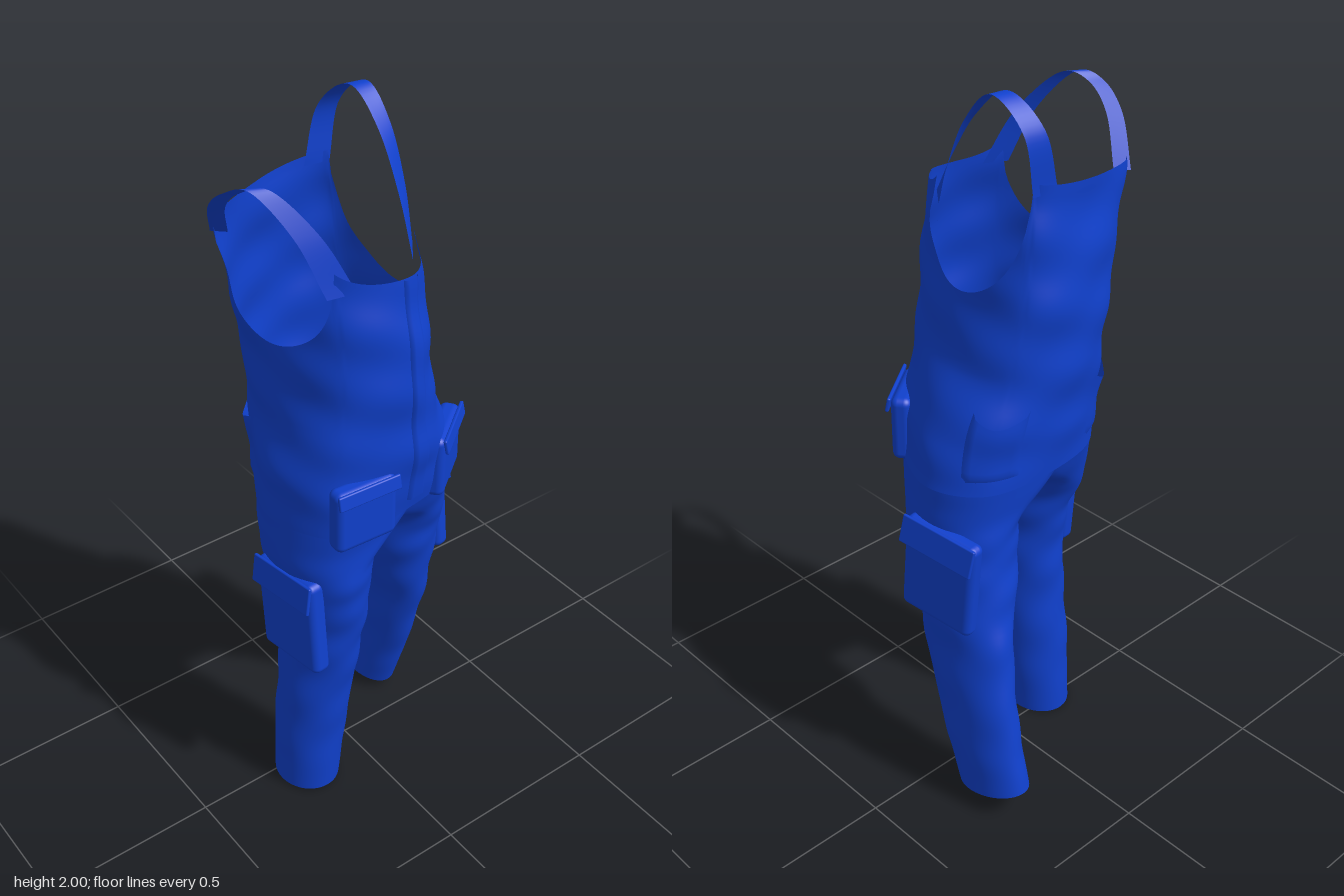
import * as THREE from 'three';
import { mergeVertices } from 'three/addons/utils/BufferGeometryUtils.js';
import { RoundedBoxGeometry } from 'three/addons/geometries/RoundedBoxGeometry.js';

const cloth = new THREE.MeshStandardMaterial({ color: 0x1040cc, side: THREE.DoubleSide });
const V = (x, y, z) => new THREE.Vector3(x, y, z);
const spline = (pts, closed = false) => new THREE.CatmullRomCurve3(pts, closed, 'catmullrom');

// Smooth sheet from a rule f(a, b), a and b running 0..1
function sheet(nu, nv, f) {
  const pos = [], idx = [];
  for (let j = 0; j <= nv; j++)
    for (let i = 0; i <= nu; i++) pos.push(...f(i / nu, j / nv).toArray());
  for (let j = 0; j < nv; j++)
    for (let i = 0; i < nu; i++) {
      const a = j * (nu + 1) + i, b = a + nu + 1;
      idx.push(a, a + 1, b, a + 1, b + 1, b);
    }
  let g = new THREE.BufferGeometry();
  g.setAttribute('position', new THREE.Float32BufferAttribute(pos, 3));
  g.setIndex(idx);
  g = mergeVertices(g, 1e-5);
  g.computeVertexNormals();
  return g;
}

// Torso sections: x, z of front, front left, left, back left, back, back right, right, front right
const heights = [1.0, 1.15, 1.3, 1.5, 1.74];
const sections = [
  [0.02, 0.24, 0.2, 0.18, 0.302, -0.02, 0.22, -0.17, 0.01, -0.195, -0.18, -0.14, -0.28, 0.05, -0.19, 0.24],
  [0.02, 0.27, 0.18, 0.19, 0.272, -0.01, 0.2, -0.17, 0, -0.215, -0.19, -0.14, -0.277, 0.05, -0.2, 0.235],
  [0.01, 0.28, 0.14, 0.18, 0.205, -0.02, 0.15, -0.18, -0.03, -0.23, -0.2, -0.15, -0.252, 0.05, -0.18, 0.23],
  [0, 0.28, 0.12, 0.17, 0.172, -0.02, 0.12, -0.2, -0.05, -0.235, -0.225, -0.15, -0.252, 0.04, -0.17, 0.225],
  [0, 0.24, 0.1, 0.14, 0.15, -0.03, 0.1, -0.2, -0.09, -0.21, -0.28, -0.13, -0.285, 0.05, -0.18, 0.2],
].map((s, k) => spline(Array.from({ length: 8 }, (_, i) => V(s[2 * i], heights[k], s[2 * i + 1])), true));

// Point on the torso: u runs 0..8 around from the front, y is the height
function torsoPoint(u, y, grow = 0) {
  const w = (((u % 8) + 8) % 8) / 8;
  let k = 0;
  while (k < 3 && y > heights[k + 1]) k++;
  const s = (k + (y - heights[k]) / (heights[k + 1] - heights[k])) / 4;
  const p = spline(sections.map(c => c.getPoint(w))).getPoint(Math.min(1, Math.max(0, s)));
  const a = w * Math.PI * 2;
  const fold = 0.003 * Math.min(1, Math.max(0, (y - 1) * 8))
    * (Math.sin(3 * a + 38 * y) + 0.7 * Math.sin(5 * a - 25 * y));
  p.x += (fold + grow) * Math.sin(a);
  p.z += (fold + grow) * Math.cos(a);
  p.y = y;
  return p;
}

// Upper hem: bib dips between the straps, back is higher, round armholes at both sides
function hem(u) {
  const d = Math.min(Math.abs(u - 2), Math.abs(u - 6));
  const back = u > 2 && u < 6;
  const top = back
    ? 1.8 - 0.025 * Math.max(0, u - 3)
    : 1.688 + 0.04 * Math.pow(Math.min(1, Math.min(u, 8 - u)), 4);
  const s = Math.min(1, d / 0.97);
  return 1.5 + (top - 1.5) * (1 - Math.sqrt(1 - s * s));
}

// Seam between the legs, from front (0) to back (1)
function crotch(p) {
  const q = torsoPoint(0, 1).lerp(torsoPoint(4, 1), p);
  q.y -= 0.08 * Math.pow(Math.sin(Math.PI * p), 0.5);
  return q;
}

// Leg from ellipses (y, cx, cz, rx, rz), bottom to top, closing on the torso
function leg(side, rings, tilt) {
  const cache = new Map();
  const column = a => {
    if (cache.has(a)) return cache.get(a);
    const t = (a % 1) * Math.PI * 2, outer = side > 0 ? a % 1 <= 0.5 : a % 1 >= 0.5 || a % 1 === 0;
    const pts = rings.map(([y, cx, cz, rx, rz], k) => V(
      cx + rx * Math.sin(t),
      y - (k < 3 ? tilt * (1 - k / 3) * rz * Math.cos(t) : 0),
      cz + rz * Math.cos(t)));
    const inner = side > 0 ? 2 - 2 * a : 2 * a;
    pts.push(outer ? torsoPoint((a % 1) * 8, 1) : crotch(Math.min(1, Math.max(0, inner))));
    const c = spline(pts);
    cache.set(a, c);
    return c;
  };
  return sheet(64, 60, (a, b) => {
    const p = column(a).getPoint(b), t = a * Math.PI * 2;
    const fold = 0.0022 * Math.sin(Math.PI * b) * (Math.sin(2 * t + 34 * b) + Math.sin(3 * t - 47 * b) * 0.7);
    p.x += fold * Math.sin(t);
    p.z += fold * Math.cos(t);
    return p;
  });
}

// Flat band along a path, with a width vector at start, middle and end
function strap(path, widths) {
  const c = spline(path), w = spline(widths);
  return sheet(4, 48, (a, b) => c.getPoint(b).addScaledVector(w.getPoint(b), a - 0.5));
}

export function createModel() {
  const group = new THREE.Group();
  const add = (name, geo, parent = group) => {
    const m = new THREE.Mesh(geo, cloth);
    m.name = name;
    parent.add(m);
    return m;
  };

  // Bib, back and seat
  add('torso', sheet(160, 56, (a, b) => {
    const top = hem(a * 8);
    return torsoPoint(a * 8, 1 + (top - 1) * b);
  }));

  // Trouser legs
  add('rightLeg', leg(-1, [
    [0.006, -0.173, 0.045, 0.088, 0.102], [0.25, -0.16, 0.055, 0.1, 0.107], [0.5, -0.145, 0.075, 0.102, 0.122],
    [0.7, -0.14, 0.085, 0.108, 0.147], [0.85, -0.145, 0.067, 0.128, 0.183]], -0.04));
  add('leftLeg', leg(1, [
    [0.06, 0.222, -0.19, 0.074, 0.117], [0.25, 0.225, -0.14, 0.078, 0.13], [0.5, 0.213, -0.08, 0.09, 0.147],
    [0.7, 0.184, -0.04, 0.125, 0.152], [0.85, 0.172, -0.015, 0.132, 0.165]], 0.25));

  // Shoulder straps
  add('leftStrap', strap(
    [V(0.07, 1.77, -0.207), V(0.1, 1.92, -0.2), V(0.122, 1.997, -0.11), V(0.13, 1.92, -0.02),
      V(0.12, 1.79, 0.065), V(0.095, 1.67, 0.14)],
    [V(0.07, 0, 0.01), V(0.045, 0, 0), V(0.055, 0, -0.07)]));
  add('rightStrap', strap(
    [V(-0.265, 1.72, -0.135), V(-0.317, 1.83, -0.055), V(-0.325, 1.895, 0.02), V(-0.285, 1.91, 0.08),
      V(-0.22, 1.81, 0.16), V(-0.165, 1.67, 0.212)],
    [V(0.03, 0, 0.03), V(0.035, 0, 0.02), V(0.07, 0.005, 0.02)]));

  // Zip placket down the front
  add('placket', sheet(8, 40, (a, b) => {
    const grow = a === 0 || a === 1 ? 0 : 0.007;
    return torsoPoint(-0.16 + 0.3 * a + 0.1 * (1 - b), 1.04 + 0.645 * b, grow);
  }));

  // Pockets: soft bag with a flap over its upper edge
  const pocket = (name, [x, y, z], [w, h, d], yaw, lean, roll, flap) => {
    const g = new THREE.Group();
    g.name = name;
    g.position.set(x, y, z);
    g.rotation.set(lean, yaw, roll, 'YXZ');
    group.add(g);
    add('pocketBag', new RoundedBoxGeometry(w, h, d, 4, 0.02), g);
    const f = add('pocketFlap', new RoundedBoxGeometry(w * 1.02, flap, 0.01, 2, 0.004), g);
    f.position.set(0, h / 2 - flap / 2 + 0.004, d / 2 + 0.004);
    f.rotation.x = -0.2;
  };
  pocket('rightHipPocket', [-0.138, 1.08, 0.258], [0.178, 0.18, 0.055], -0.05, 0, 0, 0.04);
  pocket('leftHipPocket', [0.183, 1.08, 0.175], [0.19, 0.18, 0.055], 0.65, 0, 0, 0.04);
  pocket('leftCargoPocket', [0.293, 0.745, -0.07], [0.23, 0.29, 0.05], 1.72, 0, -0.09, 0.08);
  pocket('rightCargoPocket', [-0.25, 0.7, 0.11], [0.22, 0.29, 0.055], -1.49, 0, 0.08, 0.08);

  // Curved patch pockets on the seat
  for (const [name, mid] of [['leftSeatPocket', 3], ['rightSeatPocket', 5]])
    add(name, sheet(12, 12, (a, b) => {
      const edge = a === 0 || a === 1 || b === 0;
      const y = 1.04 + 0.18 * b - 0.03 * b * Math.sin(Math.PI * a);
      return torsoPoint(mid - 0.4 + 0.8 * a, y, edge ? 0 : 0.005 + 0.01 * b);
    }));

  return group;
}
